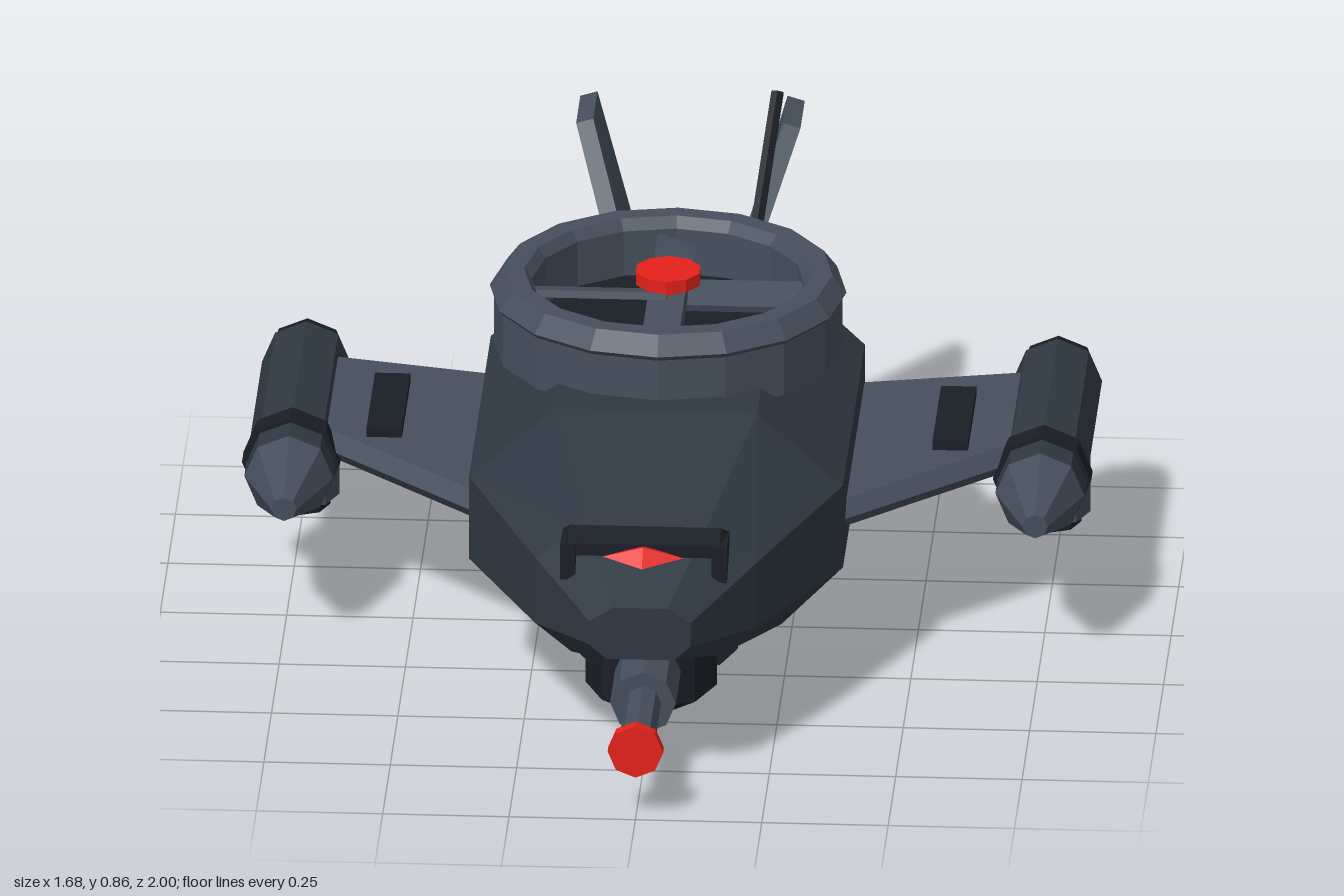
import * as THREE from 'three';
import { ConvexGeometry } from 'three/addons/geometries/ConvexGeometry.js';

const mat = (color, side = THREE.FrontSide) =>
  new THREE.MeshStandardMaterial({ color, flatShading: true, side });
const HULL = mat(0x2f3842), PANEL = mat(0x454f5c), DARK = mat(0x1a1e25), RED = mat(0xe5211b);
const RING = mat(0x454f5c, THREE.DoubleSide);

export function createModel() {
  const model = new THREE.Group();

  const add = (name, geo, material, pos = [0, 0, 0], parent = model) => {
    const mesh = new THREE.Mesh(geo, material);
    mesh.name = name;
    mesh.position.set(...pos);
    parent.add(mesh);
    return mesh;
  };
  // Tapered prism along z, from zBack to zFront
  const zTube = (name, rFront, rBack, zBack, zFront, material, x, y, parent, sides = 8) =>
    add(name, new THREE.CylinderGeometry(rFront, rBack, zFront - zBack, sides).rotateX(Math.PI / 2),
      material, [x, y, (zBack + zFront) / 2], parent);
  // Upright tapered prism, from y0 to y1
  const yTube = (name, rTop, rBottom, y0, y1, material, x, z, parent, sides = 8) =>
    add(name, new THREE.CylinderGeometry(rTop, rBottom, y1 - y0, sides), material, [x, (y0 + y1) / 2, z], parent);
  const convex = (points) => new ConvexGeometry(points.map(p => new THREE.Vector3(...p)));

  // Loft through rings listed front to back, each counter-clockwise seen from the front
  const loft = (rings) => {
    const n = rings[0].length, index = [];
    const last = (rings.length - 1) * n;
    for (let s = 0; s < rings.length - 1; s++) {
      for (let i = 0; i < n; i++) {
        const a = s * n + i, b = s * n + (i + 1) % n;
        index.push(a, a + n, b + n, a, b + n, b);
      }
    }
    for (let i = 1; i < n - 1; i++) index.push(0, i, i + 1, last, last + i + 1, last + i);
    const geo = new THREE.BufferGeometry();
    geo.setAttribute('position', new THREE.Float32BufferAttribute(rings.flat(2), 3));
    geo.setIndex(index);
    geo.computeVertexNormals();
    return geo;
  };

  // Faceted fuselage: z, half width, bottom, lower side, upper side, top
  const stations = [
    [0.85, 0.10, 0.28, 0.31, 0.36, 0.39],
    [0.65, 0.22, 0.21, 0.27, 0.41, 0.48],
    [0.32, 0.37, 0.14, 0.265, 0.44, 0.59],
    [-0.40, 0.37, 0.14, 0.265, 0.44, 0.59],
    [-0.70, 0.23, 0.21, 0.28, 0.43, 0.525],
    [-0.86, 0.11, 0.27, 0.31, 0.40, 0.45],
  ];
  add('fuselage', loft(stations.map(([z, w, b, lo, hi, t]) => {
    const tw = w * 0.54, bw = w * 0.67;
    return [[bw, b, z], [w, lo, z], [w, hi, z], [tw, t, z], [-tw, t, z], [-w, hi, z], [-w, lo, z], [-bw, b, z]];
  })), HULL);

  // Belly keel
  add('bellyKeel', convex([0.38, -0.52].flatMap(z => [-1, 1].flatMap(s =>
    [[s * 0.165, 0.16, z], [s * 0.165, 0.11, z], [s * 0.13, 0.075, z]]))), DARK);

  // Chin turret and gun
  yTube('chinTurret', 0.13, 0.13, 0.075, 0.22, DARK, 0, 0.48);
  yTube('chinCone', 0.13, 0, 0, 0.075, DARK, 0, 0.48);
  zTube('gunSleeve', 0.065, 0.065, 0.5, 0.75, PANEL, 0, 0.145);
  zTube('gunBarrel', 0.036, 0.036, 0.75, 0.98, PANEL, 0, 0.145);
  zTube('gunTip', 0.055, 0.055, 0.975, 1.0, RED, 0, 0.145);

  // Nose visor: a hood with two cheeks around a red eye
  const visor = new THREE.Group();
  visor.name = 'visor';
  model.add(visor);
  add('visorHood', convex([-1, 1].flatMap(s => [
    [s * 0.165, 0.47, 0.64], [s * 0.15, 0.49, 0.67], [s * 0.15, 0.475, 0.73],
    [s * 0.165, 0.45, 0.73], [s * 0.165, 0.44, 0.65]])), DARK, [0, 0, 0], visor);
  for (const s of [-1, 1])
    add('visorCheek', new THREE.BoxGeometry(0.03, 0.075, 0.08), DARK, [s * 0.15, 0.437, 0.695], visor);
  const eye = add('eye', new THREE.OctahedronGeometry(1), RED, [0, 0.457, 0.75], visor);
  eye.scale.set(0.08, 0.025, 0.037);
  eye.rotation.x = 0.3;

  // Tail thruster
  zTube('thrusterHousing', 0.108, 0.108, -0.96, -0.82, DARK, 0, 0.355);
  zTube('thrusterNozzle', 0.083, 0.083, -1.0, -0.95, PANEL, 0, 0.355);

  // Lift fan on the back
  const fan = new THREE.Group();
  fan.name = 'liftFan';
  fan.position.set(0, 0, -0.08);
  model.add(fan);
  const ring = [[0.28, 0.565], [0.345, 0.565], [0.345, 0.675], [0.353, 0.685], [0.325, 0.722], [0.285, 0.722],
    [0.27, 0.70], [0.27, 0.565]].map(p => new THREE.Vector2(...p));
  add('fanRing', new THREE.LatheGeometry(ring, 16), RING, [0, 0, 0], fan);
  yTube('fanFloor', 0.28, 0.28, 0.565, 0.605, DARK, 0, 0, fan, 16);
  for (let i = 0; i < 4; i++) {
    const blade = add('fanBlade', new THREE.BoxGeometry(0.265, 0.015, 0.08).rotateX(0.3).translate(0.133, 0, 0),
      PANEL, [0, 0.672, 0], fan);
    blade.rotation.y = i * Math.PI / 2;
  }
  yTube('fanStem', 0.03, 0.03, 0.6, 0.70, RED, 0, 0, fan);
  yTube('fanHub', 0.066, 0.066, 0.70, 0.727, RED, 0, 0, fan, 10);

  // Whip antenna
  const from = new THREE.Vector3(0.135, 0.54, -0.48), to = new THREE.Vector3(0.18, 0.855, -0.69);
  const antenna = add('antenna', new THREE.CylinderGeometry(0.014, 0.014, from.distanceTo(to), 6), DARK,
    from.clone().lerp(to, 0.5).toArray());
  antenna.quaternion.setFromUnitVectors(new THREE.Vector3(0, 1, 0), to.clone().sub(from).normalize());

  // Mirrored wings, engine pods and tail fins
  for (const s of [-1, 1]) {
    const side = s > 0 ? 'left' : 'right';
    const wing = new THREE.Group();
    wing.name = side + 'Wing';
    model.add(wing);

    // Flat wing with chamfered leading and trailing edges
    const outline = [[0.32, -0.39, 0.29], [0.68, -0.47, -0.06]];
    add('wingPanel', convex(outline.flatMap(([x, back, front]) => [
      [s * x, 0.335, back], [s * x, 0.335, front],
      ...[0.307, 0.365].flatMap(y => [[s * x, y, back + 0.015], [s * x, y, front - 0.035]])])),
      PANEL, [0, 0, 0], wing);
    add('wingVent', new THREE.BoxGeometry(0.07, 0.03, 0.28), DARK, [s * 0.56, 0.37, -0.19], wing);

    // Engine pod with its downward nozzle
    const pod = new THREE.Group();
    pod.name = side + 'Pod';
    pod.position.set(s * 0.743, 0.315, 0);
    model.add(pod);
    zTube('podBody', 0.088, 0.088, -0.54, 0.045, HULL, 0, 0, pod);
    zTube('podNose', 0.025, 0.088, 0.045, 0.21, PANEL, 0, 0, pod);
    zTube('podBand', 0.097, 0.097, -0.08, -0.025, DARK, 0, 0, pod);
    zTube('podTailCap', 0.08, 0.08, -0.575, -0.535, DARK, 0, 0, pod);
    yTube('podNozzle', 0.083, 0.083, -0.155, -0.04, PANEL, 0, -0.245, pod);
    yTube('podNozzleTip', 0.065, 0.065, -0.177, -0.15, DARK, 0, -0.245, pod);

    // Outward-leaning tail fin: x, y, z of the mid-surface corners
    const fin = [[0.125, 0.55, -0.55], [0.125, 0.49, -0.83], [0.205, 0.76, -0.885], [0.205, 0.76, -0.745]];
    add(side + 'TailFin', convex(fin.flatMap(([x, y, z]) =>
      [-0.017, 0.017].map(d => [s * (x + d), y - d * 0.3, z]))), PANEL);
  }

  return model;
}
